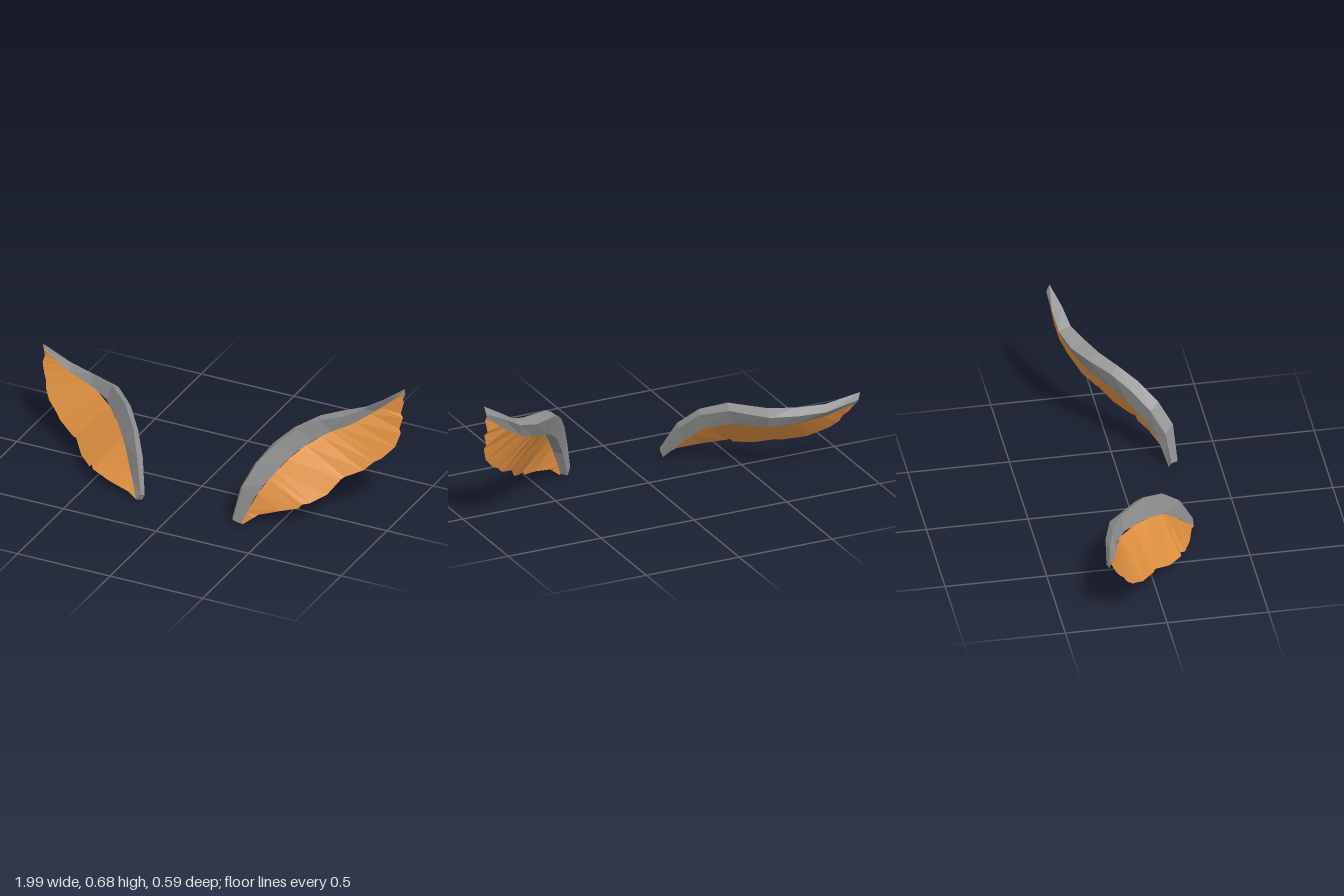
import * as THREE from 'three';

const armGrey = new THREE.MeshStandardMaterial({ color: 0x909090, flatShading: true });
armGrey.name = 'arm grey';
const webOrange = new THREE.MeshStandardMaterial({ color: 0xe09141, flatShading: true, side: THREE.DoubleSide });
webOrange.name = 'membrane orange';

// Four ridges run along each arm from root to tip; the membrane hangs from frontLow to edge.
const leftWing = {
  frontTop: [[.31, .035, .293], [.355, .222, .278], [.40, .33, .215], [.465, .415, .13], [.54, .47, .04],
    [.62, .50, -.035], [.72, .518, -.09], [.80, .55, -.143], [.89, .61, -.17], [.99, .676, -.213]],
  frontLow: [[.345, .01, .265], [.40, .15, .232], [.435, .215, .2], [.495, .30, .125], [.535, .35, .065],
    [.59, .39, -.01], [.66, .43, -.07], [.74, .46, -.118], [.85, .535, -.185], [.98, .645, -.218]],
  backLow: [[.315, 0, .25], [.36, .14, .205], [.40, .21, .16], [.455, .29, .085], [.52, .35, .015],
    [.60, .395, -.07], [.68, .425, -.125], [.77, .46, -.17], [.87, .53, -.205], [.98, .615, -.225]],
  backTop: [[.295, .035, .26], [.325, .19, .235], [.37, .30, .17], [.43, .39, .085], [.50, .45, 0],
    [.59, .488, -.10], [.68, .505, -.165], [.79, .535, -.205], [.88, .59, -.22], [.985, .64, -.23]],
  edge: [[.35, .005, .262], [.40, .045, .245], [.42, .06, .23], [.52, .085, .19], [.595, .098, .15],
    [.61, .118, .14], [.64, .12, .115], [.70, .15, .05], [.745, .215, -.015], [.755, .222, -.03],
    [.83, .25, -.085], [.87, .29, -.115], [.905, .31, -.135], [.96, .37, -.17], [.98, .44, -.19],
    [.97, .46, -.195], [.985, .52, -.205], [.97, .535, -.21], [.985, .6, -.215], [.975, .62, -.215], [.99, .672, -.213]],
};

const rightWing = {
  frontTop: [[-.195, .04, .275], [-.25, .19, .2], [-.32, .29, .10], [-.42, .347, -.01],
    [-.56, .347, -.15], [-.69, .347, -.21], [-.83, .355, -.25], [-1, .40, -.285]],
  frontLow: [[-.22, .01, .275], [-.28, .095, .205], [-.37, .205, .10], [-.46, .25, 0],
    [-.58, .272, -.13], [-.69, .295, -.185], [-.83, .32, -.22], [-.985, .375, -.27]],
  backLow: [[-.20, 0, .25], [-.27, .10, .17], [-.33, .19, .08], [-.43, .24, -.03],
    [-.56, .25, -.17], [-.69, .265, -.215], [-.83, .285, -.24], [-.98, .34, -.28]],
  backTop: [[-.185, .03, .25], [-.24, .18, .16], [-.31, .27, .07], [-.41, .32, -.05],
    [-.55, .315, -.20], [-.69, .315, -.245], [-.83, .32, -.27], [-.985, .365, -.295]],
  edge: [[-.21, .005, .265], [-.27, .03, .255], [-.39, .045, .225], [-.5, .06, .18], [-.52, .072, .155],
    [-.53, .055, .155], [-.61, .065, .085], [-.68, .10, 0], [-.70, .097, -.01], [-.81, .125, -.085],
    [-.84, .145, -.11], [-.90, .18, -.15], [-.935, .22, -.185], [-.945, .255, -.205],
    [-.965, .28, -.225], [-.985, .32, -.25], [-.98, .35, -.265], [-1, .395, -.285]],
};

function facets(points, index) {
  const g = new THREE.BufferGeometry();
  g.setAttribute('position', new THREE.Float32BufferAttribute(points.flat(), 3));
  g.setIndex(index);
  const flat = g.toNonIndexed();
  flat.computeVertexNormals();
  return flat;
}

// Four-sided arm, closed at root and tip; flip reverses corners for the opposite side
function armGeometry(w, flip) {
  const ridges = [w.frontTop, w.frontLow, w.backLow, w.backTop];
  const n = w.frontTop.length, points = [], index = [];
  const quad = (a, b, c, d) => index.push(...(flip ? [a, c, b, a, d, c] : [a, b, c, a, c, d]));
  for (let i = 0; i < n; i++) for (const r of ridges) points.push(r[i]);
  for (let i = 0; i < n - 1; i++) {
    for (let k = 0; k < 4; k++) {
      const next = (k + 1) % 4;
      quad(i * 4 + k, i * 4 + next, i * 4 + 4 + next, i * 4 + 4 + k);
    }
  }
  const e = (n - 1) * 4;
  quad(3, 2, 1, 0);
  quad(e, e + 1, e + 2, e + 3);
  return facets(points, index);
}

// Position along a polyline at a fraction of its length
function along(path, lengths, t) {
  const d = t * lengths[lengths.length - 1];
  let i = 0;
  while (i < path.length - 2 && lengths[i + 1] < d) i++;
  return path[i].clone().lerp(path[i + 1], (d - lengths[i]) / (lengths[i + 1] - lengths[i]));
}

function measure(path) {
  const lengths = [0];
  for (let i = 1; i < path.length; i++) lengths.push(lengths[i - 1] + path[i].distanceTo(path[i - 1]));
  return lengths;
}

// Ribbon from the arm's lower front ridge to the ragged trailing edge
function membraneGeometry(w) {
  const ridge = w.frontLow.map(p => new THREE.Vector3(...p));
  const edge = w.edge.map(p => new THREE.Vector3(...p));
  const ridgeLen = measure(ridge), edgeLen = measure(edge);
  const points = [], index = [];
  edge.forEach((p, i) => {
    const t = edgeLen[i] / edgeLen[edge.length - 1];
    points.push(along(ridge, ridgeLen, t).toArray(), p.toArray());
    if (i) {
      const a = i * 2 - 2;
      index.push(a, a + 1, a + 3, a, a + 3, a + 2);
    }
  });
  return facets(points, index);
}

function buildWing(w, name, flip) {
  const wing = new THREE.Group();
  wing.name = name;
  const arm = new THREE.Mesh(armGeometry(w, flip), armGrey);
  arm.name = 'wingArm';
  const membrane = new THREE.Mesh(membraneGeometry(w), webOrange);
  membrane.name = 'wingMembrane';
  wing.add(arm, membrane);
  return wing;
}

export function createModel() {
  const model = new THREE.Group();
  model.name = 'wings';
  model.add(buildWing(leftWing, 'leftWing', false), buildWing(rightWing, 'rightWing', true));
  return model;
}
